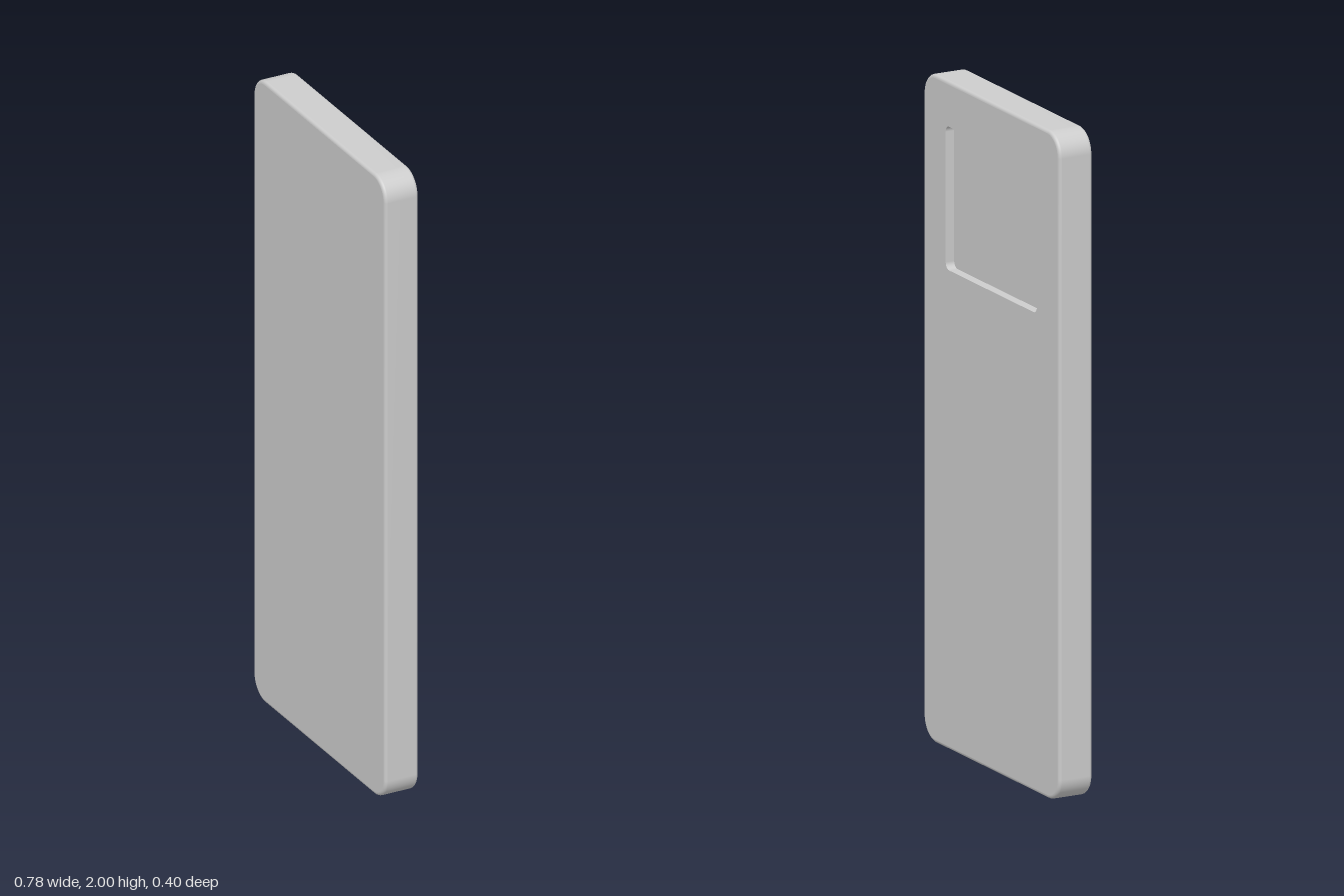
import * as THREE from 'three';

const W = 0.8, H = 2, T = 0.11, CORNER = 0.07, BEVEL = 0.01;
const POCKET = { w: 0.537, h: 0.43, r: 0.02, y: 0.65, depth: 0.028 };

// Rounded rectangle centred on x = 0, anticlockwise
function roundedRect(w, h, r, y = 0, PathType = THREE.Shape) {
  const p = new PathType();
  const corners = [[1, -1], [1, 1], [-1, 1], [-1, -1]];
  corners.forEach(([sx, sy], i) => {
    const a = (i - 1) * Math.PI / 2;
    p.absarc(sx * (w / 2 - r), y + sy * (h / 2 - r), r, a, a + Math.PI / 2, false);
  });
  return p;
}

// Smooth band joining outlines that share a point count; sections are [path, z]
function loft(sections) {
  const pos = [], index = [];
  const rings = sections.map(([path, z]) => path.getPoints(10).map(p => [p.x, p.y, z]));
  const n = rings[0].length;
  rings.forEach(ring => ring.forEach(p => pos.push(...p)));
  for (let k = 0; k < rings.length - 1; k++) {
    for (let i = 0; i < n; i++) {
      const a = k * n + i, b = k * n + (i + 1) % n;
      index.push(a, b, a + n, b, b + n, a + n);
    }
  }
  const g = new THREE.BufferGeometry();
  g.setAttribute('position', new THREE.Float32BufferAttribute(pos, 3));
  g.setIndex(index);
  g.computeVertexNormals();
  return g;
}

export function createModel() {
  const grey = new THREE.MeshStandardMaterial({ color: 0xcccccc });
  grey.name = 'light grey';
  const slab = new THREE.Group();
  slab.name = 'slab';
  const add = (name, geometry, z = 0, backwards = false) => {
    const mesh = new THREE.Mesh(geometry, grey);
    mesh.name = name;
    mesh.position.z = z;
    if (backwards) mesh.rotation.y = Math.PI;
    slab.add(mesh);
  };
  const inset = d => roundedRect(W - 2 * d, H - 2 * d, CORNER - d);
  const pocket = (PathType) => roundedRect(POCKET.w, POCKET.h, POCKET.r, POCKET.y, PathType);
  const floorZ = -T / 2 + POCKET.depth;

  // Rim with softly rounded front and back edges
  const rim = [], steps = 5;
  for (const side of [-1, 1]) {
    for (let i = 0; i <= steps; i++) {
      const a = (side < 0 ? steps - i : i) / steps * Math.PI / 2;
      rim.push([inset(BEVEL * (1 - Math.cos(a))), side * (T / 2 - BEVEL + BEVEL * Math.sin(a))]);
    }
  }
  add('rim', loft(rim));

  // Plain front, and a back with the pocket opening
  add('frontFace', new THREE.ShapeGeometry(inset(BEVEL), 10), T / 2);
  const back = inset(BEVEL);
  back.holes.push(pocket(THREE.Path));
  add('backFace', new THREE.ShapeGeometry(back, 10), -T / 2, true);

  // Recessed pocket
  add('pocketWall', loft([[pocket(), floorZ], [pocket(), -T / 2]]));
  add('pocketFloor', new THREE.ShapeGeometry(pocket(), 10), floorZ, true);

  // Stand the slab on the ground, turned about its upright axis
  slab.position.y = H / 2;
  slab.rotation.y = -THREE.MathUtils.degToRad(22);
  const model = new THREE.Group();
  model.name = 'model';
  model.add(slab);
  return model;
}
